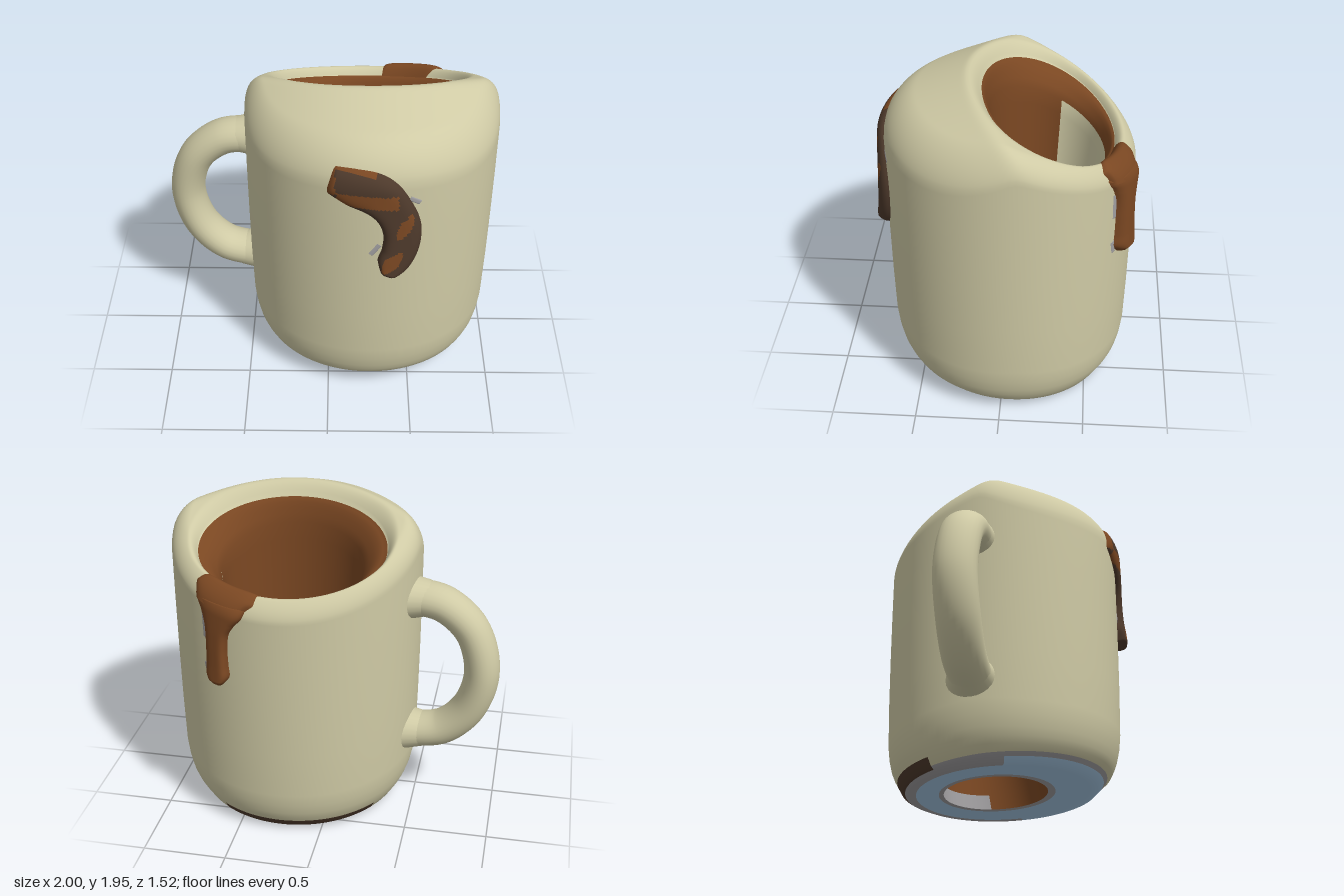
import * as THREE from 'three';

const mat = (name, color, side = THREE.FrontSide) => {
  const m = new THREE.MeshStandardMaterial({ color, side });
  m.name = name;
  return m;
};

// Shape rules shared by the body and the drips
const { sqrt, min, max, abs, cos, sin, hypot, PI } = Math;
const lerp = (a, b, t) => a + (b - a) * t;
const ellipse = (cx, cz, rx, rz) => (a) => [cx + rx * cos(a), cz + rz * sin(a)];
const outer = ellipse(0.25, -0.02, 0.75, 0.725);
const opening = ellipse(0.235, -0.24, 0.555, 0.38);
const hole = ellipse(0.22, -0.07, 0.33, 0.315);
const DIP = 0.07;
const base = (z) => 0.019 + 0.042 * z;
// Two slopes meeting in a softly rounded ridge that curls around the opening
function slant(x, z) {
  const front = 1.96 - 0.36 * (z - 0.2) - 0.43 * (x - 0.25) ** 2;
  const back = 1.96 + 0.46 * (z - 0.2);
  const h = max(0, 0.04 - abs(front - back));
  return min(front, back) - (h * h) / 0.16;
}
const drop = (a) => 0.15 + 0.05 * sin(a);
const shoulder = (a) => slant(...outer(a)) - drop(a);
const rimGap = (a) => {
  const [x, z] = outer(a), [u, v] = opening(a);
  return hypot(u - x, v - z);
};
const roundWidth = (a) => min(0.19, 0.8 * rimGap(a));
const edgeAmount = (a, t) => 1 - min(1, (t * rimGap(a)) / roundWidth(a));

// Point on the top, from the shoulder (t = 0) to the sunken opening (t = 1)
function topPoint(a, t) {
  const [x, z] = outer(a), [u, v] = opening(a), gap = rimGap(a);
  const px = lerp(x, u, t), pz = lerp(z, v, t), s = edgeAmount(a, t);
  const sink = max(0, 1 - ((1 - t) * gap) / min(0.09, 0.5 * gap));
  return [px, slant(px, pz) - drop(a) * (1 - sqrt(1 - s * s)) - DIP * sink * sink, pz];
}

// Point on the outer wall at an angle and height
function wallPoint(a, y) {
  const k = min(1, max(0, (y - shoulder(a)) / drop(a)));
  const t = (roundWidth(a) * (1 - sqrt(1 - k * k))) / rimGap(a);
  const [x, z] = outer(a), [u, v] = opening(a);
  return [lerp(x, u, t), y, lerp(z, v, t)];
}

// Builds a grid surface; colourOf(i, j) gives the material index of each cell
function gridGeometry(rows, closed, colourOf, count, flip = false) {
  const n = rows[0].length, faces = Array.from({ length: count }, () => []);
  for (let i = 0; i < rows.length - 1; i++) {
    for (let j = 0; j < (closed ? n : n - 1); j++) {
      const k = (j + 1) % n;
      const a = i * n + j, b = a + n, c = (i + 1) * n + k, d = i * n + k;
      faces[colourOf(i, j)].push(...(flip ? [a, d, b, b, d, c] : [a, b, d, b, c, d]));
    }
  }
  const g = new THREE.BufferGeometry();
  g.setAttribute('position', new THREE.Float32BufferAttribute(rows.flat(2), 3));
  g.setIndex(faces.flat());
  let start = 0;
  faces.forEach((f, i) => {
    g.addGroup(start, f.length, i);
    start += f.length;
  });
  g.computeVertexNormals();
  return g;
}

// Domed run of glaze along a path of [x, y, half width] on the front or back wall
function drip(path, sign, thickStart, thickEnd, colourOf, count) {
  const curve = new THREE.CatmullRomCurve3(path.map((p) => new THREE.Vector3(...p)));
  const rows = [], R = 64, K = 32;
  for (let i = 0; i <= R; i++) {
    const t = i / R, p = curve.getPoint(t), d = curve.getTangent(t);
    const len = hypot(d.x, d.y) || 1;
    const thick = i === 0 || i === R ? 0 : lerp(thickStart, thickEnd, t) * min(1, p.z / 0.06);
    const row = [];
    for (let j = 0; j <= K; j++) {
      const k = (j / K) * 2 - 1;
      const x = p.x - (d.y / len) * p.z * k, y = p.y + (d.x / len) * p.z * k;
      const a = sign * Math.acos((x - 0.25) / 0.75);
      const w = wallPoint(a, y), off = (thick + 0.02) * sqrt(max(0, 1 - k ** 4)) - 0.02;
      row.push([x + off * cos(a) * 0.3, y, w[2] + off * sin(a)]);
    }
    rows.push(row);
  }
  const colour = (i, j) => colourOf(rows[i][j][0], rows[i][j][1], ((j + 0.5) / K) * 2 - 1);
  return gridGeometry(rows, false, colour, count, sign < 0);
}

export function createModel() {
  const cream = mat('cream glaze', 0xcfcaa5);
  const brown = mat('brown glaze', 0x7a4722, THREE.DoubleSide);
  const dark = mat('dark brown glaze', 0x4d392b, THREE.DoubleSide);
  const blue = mat('blue base', 0xa6c8e4);
  const grey = mat('grey edge', 0xa09ea0, THREE.DoubleSide);
  const group = new THREE.Group();
  const add = (name, geometry, material) => {
    const m = new THREE.Mesh(geometry, material);
    m.name = name;
    group.add(m);
    return m;
  };

  // Body: rings from the base hole, out, up the wall, over the rim and down the cavity
  const N = 120, CREAM = 0, BROWN = 1, DARK = 2, BLUE = 3, GREY = 4;
  const rows = [], colours = [];
  const ring = (pointAt, colour) => {
    rows.push(Array.from({ length: N }, (_, j) => pointAt((j / N) * 2 * PI)));
    colours.push(typeof colour === 'function' ? colour : () => colour);
  };
  const scaled = (a, f) => {
    const [x, z] = outer(a);
    return [0.25 + (x - 0.25) * f, -0.02 + (z + 0.02) * f];
  };

  // Underside
  const frontBlue = (s) => (s > 0.1 ? BLUE : GREY);
  [[0, GREY], [0.15, BLUE], [0.5, BLUE], [0.85, frontBlue]].forEach(([t, colour]) =>
    ring((a) => {
      const [x, z] = hole(a), [u, v] = scaled(a, 0.78);
      const pz = lerp(z, v, t);
      return [lerp(x, u, t), base(pz), pz];
    }, colour));

  // Wall: [height fraction, tilt, radius fraction, colour], with a dark smear at the back edge
  const smear = (other) => (s, c) => (s < -0.6 && c < 0.55 ? DARK : other);
  [[0, 0, 0.78, frontBlue], [0.017, 0.007, 0.83, smear(GREY)],
    [0.03, 0.01, 0.86, smear(CREAM)], [0.055, 0, 0.898, CREAM], [0.08, 0, 0.925, CREAM],
    [0.11, 0, 0.949, CREAM], [0.155, 0, 0.97, CREAM], [0.21, 0, 0.983, CREAM],
    [0.4, 0, 0.993, CREAM], [0.6, 0, 0.998, CREAM], [0.8, 0, 1, CREAM],
  ].forEach(([f, tilt, r, colour]) =>
    ring((a) => {
      const [x, z] = scaled(a, r);
      return [x, lerp(base(z), shoulder(a), f + tilt * sin(a)), z];
    }, colour));

  // Rounded shoulder and slanted top
  const STEPS = 40;
  for (let i = 0; i < STEPS; i++) ring((a) => topPoint(a, (i / STEPS) ** 1.2), CREAM);

  // Glazed lip sloping into the throat
  const throat = ellipse(0.235, -0.235, 0.42, 0.335);
  const throatY = (x, z) => slant(x, z) - DIP - 0.13;
  for (let i = 0; i < 5; i++) {
    const t = i / 5;
    ring((a) => {
      const [x, z] = opening(a), [u, v] = throat(a);
      const px = lerp(x, u, t), pz = lerp(z, v, t);
      return [px, slant(px, pz) - DIP - 0.13 * t * t, pz];
    }, BROWN);
  }

  // Cavity, open through the base, with a bare patch on the back wall
  const middle = ellipse(0.235, -0.21, 0.37, 0.28);
  for (let i = 0; i <= 16; i++) {
    const t = i / 16;
    const colour = (s) => (s < -0.2 && (t < 0.75 || i === 15) ? (i === 15 ? GREY : CREAM) : BROWN);
    ring((a) => {
      const [x0, z0] = throat(a), [x1, z1] = middle(a), [x2, z2] = hole(a);
      const mix = (p, q, r) => (t < 0.5 ? lerp(p, q, t * 2) : lerp(q, r, t * 2 - 1));
      return [mix(x0, x1, x2), lerp(throatY(x0, z0), base(z2), t), mix(z0, z1, z2)];
    }, colour);
  }
  const bodyColour = (i, j) => {
    const a = ((j + 0.5) / N) * 2 * PI;
    return colours[i](sin(a), cos(a));
  };
  add('body', gridGeometry(rows, true, bodyColour, 5), [cream, brown, dark, blue, grey]);

  // Handle with flared feet
  const loop = new THREE.CatmullRomCurve3([
    [-0.4, 1.39, 0.03], [-0.52, 1.39, 0.02], [-0.66, 1.36, 0.01], [-0.82, 1.22, 0],
    [-0.895, 0.96, -0.01], [-0.83, 0.7, 0], [-0.68, 0.54, 0.01], [-0.52, 0.495, 0.02],
    [-0.4, 0.49, 0.03]].map((p) => new THREE.Vector3(...p)));
  const handle = add('handle', new THREE.TubeGeometry(loop, 64, 0.106, 24), cream);
  handle.scale.z = 1.2;
  handle.position.z = -0.16;
  for (const y of [1.39, 0.495]) {
    const foot = new THREE.CylinderGeometry(0.104, 0.135, 0.14, 24, 1, true);
    foot.rotateZ(PI / 2).scale(-1, -1, 1.15).rotateZ(PI);
    add('handleFoot', foot, cream).position.set(-0.495, y, -0.135);
  }

  // Front drip with lighter streaks
  const streak = (x, y, cx, cy, angle, length, width) => {
    const u = (x - cx) * cos(angle) + (y - cy) * sin(angle);
    const v = (y - cy) * cos(angle) - (x - cx) * sin(angle);
    return abs(u) / length < 1 && abs(v) < width * sqrt(1 - abs(u) / length);
  };
  const streaks = (x, y, k) =>
    (x < 0.25 && y > 1.6 && k > 0.75) || (x < 0.03 && y > 1.55) ||
    (x > 0.035 && x < 0.38 && y > 1.485 && y < 1.57) ||
    streak(x, y, 0.425, 1.36, 1.1, 0.085, 0.04) ||
    streak(x, y, 0.36, 1.12, 0.9, 0.085, 0.045) ? 1 : 0;
  add('frontDrip', drip([[0.01, 1.63, 0.09], [0.14, 1.595, 0.125], [0.27, 1.55, 0.135],
    [0.365, 1.44, 0.115], [0.415, 1.3, 0.112], [0.405, 1.16, 0.108], [0.365, 1.07, 0.095],
    [0.335, 1.01, 0.045]], 1, 0.025, 0.068, streaks, 2), [dark, brown]);

  // Bare specks beside the drips
  [[[0.45, 1.52], [0.51, 1.48], 1], [[0.29, 1.21], [0.24, 1.14], 1],
    [[0.665, 1.42], [0.66, 1.26], -1], [[0.665, 1.1], [0.65, 1.02], -1]].forEach(([p, q, side]) =>
    add('speck', drip([[...p, 0.02], [...q, 0.02]], side, 0.009, 0.009, () => 0, 1), [grey]));

  // Back drip, funnelling down from the rim
  add('backDrip', drip([[0.55, 1.52, 0.17], [0.555, 1.47, 0.15], [0.565, 1.41, 0.11],
    [0.575, 1.34, 0.08], [0.58, 1.24, 0.07], [0.58, 1.13, 0.072], [0.58, 1.06, 0.075],
    [0.58, 1.0, 0.035]], -1, 0.045, 0.08, () => 0, 1), [brown]);

  // Spill crossing the back rim into the opening
  const spill = [];
  for (let i = 0; i <= 24; i++) {
    const t = lerp(0.02, 1.05, i / 24), row = [];
    for (let j = 0; j <= 20; j++) {
      const k = (j / 20) * 2 - 1, a = -1.13 + 0.3 * lerp(0.7, 1, min(1, t * 4)) * k;
      const [x, y, z] = topPoint(a, t), s = edgeAmount(a, t);
      const off = 0.05 * sqrt(1 - k ** 4) * (1 - 0.6 * t) - 0.01;
      row.push([x + cos(a) * s * off, y + sqrt(1 - s * s) * off, z + sin(a) * s * off]);
    }
    spill.push(row);
  }
  add('rimSpill', gridGeometry(spill, false, () => 0, 1), [brown]);

  return group;
}
